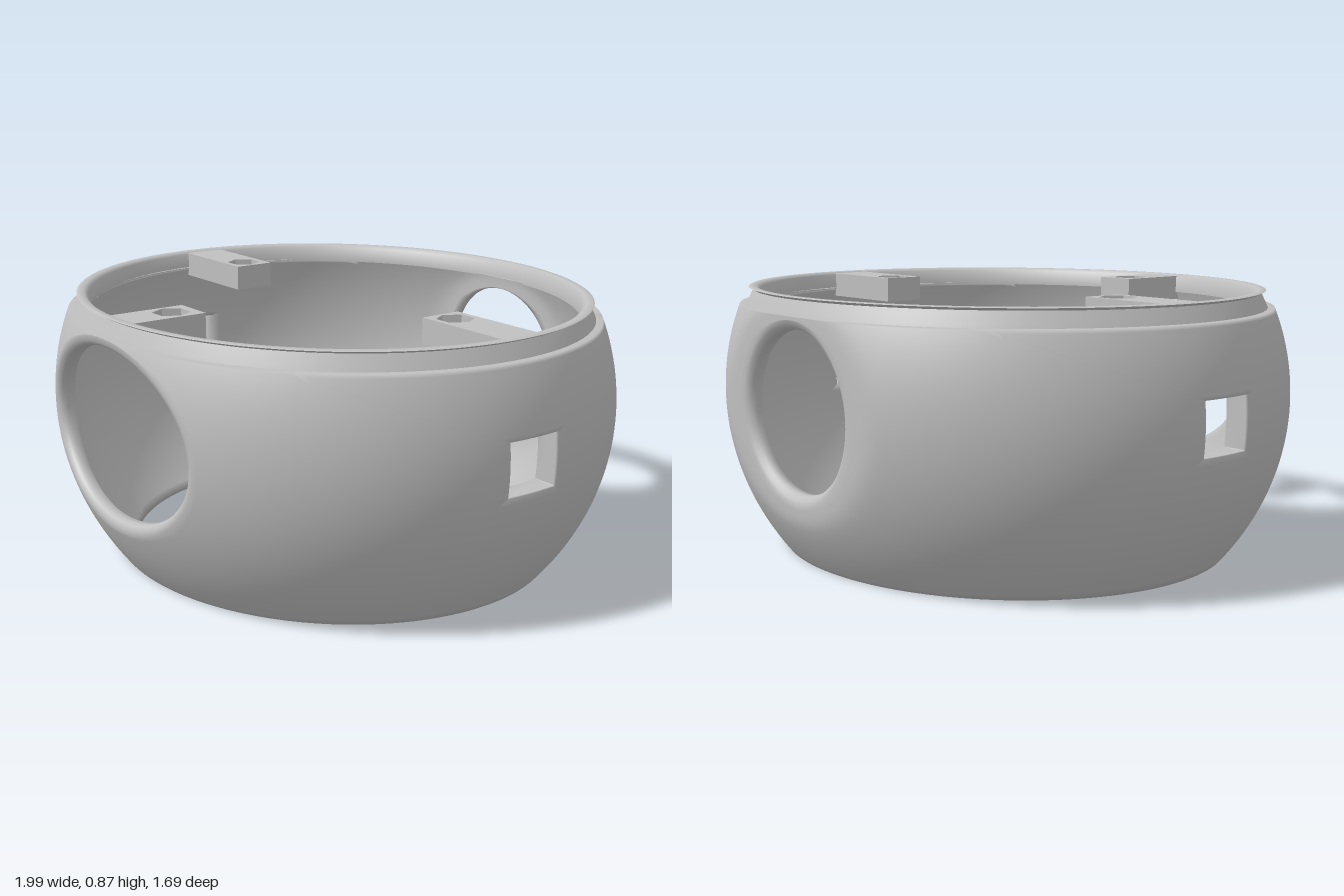
import * as THREE from 'three';
import { toCreasedNormals, mergeGeometries, mergeVertices } from 'three/addons/utils/BufferGeometryUtils.js';

const TOP = 0.812, MID_Y = 0.518, SHIFT_Z = -0.015;
const grey = new THREE.MeshStandardMaterial({ color: 0xc0c0c0 });
grey.name = 'light grey plastic';

// Half-width of an elliptical bulge at height y, with its own curve below and above the middle
const bulge = (r, below, above) => (y) => {
  const d = (y - MID_Y) / (y < MID_Y ? below : above);
  return r * Math.sqrt(1 - d * d);
};

// The two skins of the shell, each cut flat at the back
const outer = { rx: bulge(1, 0.863, 0.863), rz: bulge(0.91, 0.863, 0.863), back: -0.85 };
const inner = { rx: bulge(0.917, 0.785, 0.92), rz: bulge(0.85, 0.85, 0.79), back: -0.8 };

// Point on a skin; the edge of the flat back is slightly softened
function onSkin(skin, theta, y) {
  const d = skin.rz(y) * Math.cos(theta) + SHIFT_Z - skin.back;
  return new THREE.Vector3(
    skin.rx(y) * Math.sin(theta), y, skin.back + (d + Math.hypot(d, 0.012)) / 2);
}

// One quarter of the shell around an opening: outer skin, rounded lip, inner skin
function quarter(k, hole) {
  const n = 56, steps = 18, count = 4 * n;
  const centre = k * Math.PI / 2;
  const lips = [[0, 1], [0.12, 0.5], [0.35, 0.15], [0.6, 0], [1, 0]];

  // Perimeter of the quarter in -1..1, counter-clockwise from the lower left
  const edge = [];
  for (let s = 0; s < 4; s++) {
    for (let i = 0; i < n; i++) {
      const u = -1 + 2 * i / n;
      edge.push([[u, -1], [1, u], [-u, 1], [-1, -u]][s]);
    }
  }

  const holePoint = ([a, b], skin, lip) => {
    const len = hole.square ? 1 : Math.hypot(a, b);
    const y = hole.y + (hole.h + hole.lip * lip) * b / len;
    const w = hole.x + (hole.w + hole.lip * lip) * a / len;
    const r = k % 2 ? skin.rz(y) : skin.rx(y);
    return [centre + Math.asin(w / r), y];
  };
  const skinRow = (skin, lip, t) => edge.map((p) => {
    const [th, y] = holePoint(p, skin, lip);
    return onSkin(skin,
      THREE.MathUtils.lerp(th, centre + p[0] * Math.PI / 4, t),
      THREE.MathUtils.lerp(y, (p[1] + 1) * TOP / 2, t));
  });

  const rows = [];
  for (let i = 0; i < steps; i++) rows.push(skinRow(outer, 1, 1 - i / steps));
  for (const [depth, lip] of lips) {
    const a = skinRow(outer, lip, 0), b = skinRow(inner, lip, 0);
    rows.push(a.map((v, i) => v.lerp(b[i], depth)));
  }
  for (let i = 1; i <= steps; i++) rows.push(skinRow(inner, 0, i / steps));

  const index = [];
  for (let r = 0; r < rows.length; r++) {
    for (let i = 0; i < count; i++) {
      // The last row closes back to the first only along the bottom and top edges
      if (r === rows.length - 1 && Math.floor(i / n) % 2) continue;
      const a = r * count + i, b = r * count + (i + 1) % count;
      const r2 = (r + 1) % rows.length;
      const c = r2 * count + (i + 1) % count, d = r2 * count + i;
      index.push(a, b, c, a, c, d);
    }
  }
  const geo = new THREE.BufferGeometry().setFromPoints(rows.flat());
  geo.setIndex(index);
  return geo;
}

// Mounting tab along +x: a lower plate with a round hole and an upper one with a hexagonal pocket
function mountingTab(from, to, holeX, turn) {
  const plate = (radius, sides, y, depth) => {
    const shape = new THREE.Shape();
    shape.moveTo(from, -0.072).lineTo(to, -0.072).lineTo(to, 0.072).lineTo(from, 0.072).closePath();
    const pts = [];
    for (let i = 0; i < sides; i++) {
      const a = turn - i * 2 * Math.PI / sides;
      pts.push(new THREE.Vector2(holeX + radius * Math.cos(a), radius * Math.sin(a)));
    }
    shape.holes.push(new THREE.Path(pts));
    const geo = new THREE.ExtrudeGeometry(shape, { depth, bevelEnabled: false });
    return geo.rotateX(-Math.PI / 2).translate(0, y, 0);
  };
  const group = new THREE.Group();
  const base = new THREE.Mesh(plate(0.032, 24, 0.78, 0.045), grey);
  base.name = 'tabBase';
  const pocket = new THREE.Mesh(plate(0.06, 6, 0.825, 0.04), grey);
  pocket.name = 'tabNutPocket';
  group.add(base, pocket);
  return group;
}

export function createModel() {
  const model = new THREE.Group();
  model.name = 'hollowHousing';

  // Shell with a wide front opening, round back opening and square side windows
  const front = { x: 0, w: 0.405, h: 0.272, y: 0.508, lip: 0.035 };
  const back = { x: 0, w: 0.265, h: 0.255, y: 0.515, lip: 0.03 };
  const sideWindow = (x) => ({ x, w: 0.094, h: 0.085, y: 0.515, lip: 0, square: true });
  const holes = [front, sideWindow(-0.01), back, sideWindow(0.01)];
  const shellGeo = mergeVertices(mergeGeometries(holes.map((hole, k) => quarter(k, hole))));
  shellGeo.computeVertexNormals();
  const shell = new THREE.Mesh(shellGeo, grey);
  shell.name = 'shell';
  model.add(shell);

  // Raised rim with a thin flared lip
  const profile = [[0.87, 0.806], [0.922, 0.806], [0.916, 0.82], [0.896, 0.86], [0.912, 0.868],
    [0.908, 0.87], [0.885, 0.87], [0.872, 0.86], [0.87, 0.806]].map(([x, y]) => new THREE.Vector2(x, y));
  const rimGeo = new THREE.LatheGeometry(profile, 128).scale(1, 1, 0.903).translate(0, 0, SHIFT_Z);
  const rim = new THREE.Mesh(toCreasedNormals(rimGeo, 0.9), grey);
  rim.name = 'rim';
  model.add(rim);

  // Three mounting tabs
  const tabs = [
    ['leftTab', 0.52, 0.89, 0.59, 0, 0, -0.05],
    ['rightTab', 0.52, 0.89, 0.59, 0, Math.PI, -0.05],
    ['frontTab', 0.52, 0.79, 0.6, Math.PI / 6, -Math.PI / 2, 0],
  ];
  for (const [name, from, to, holeX, turn, angle, z] of tabs) {
    const tab = mountingTab(from, to, holeX, turn);
    tab.name = name;
    tab.rotation.y = angle;
    tab.position.z = z;
    model.add(tab);
  }
  return model;
}
